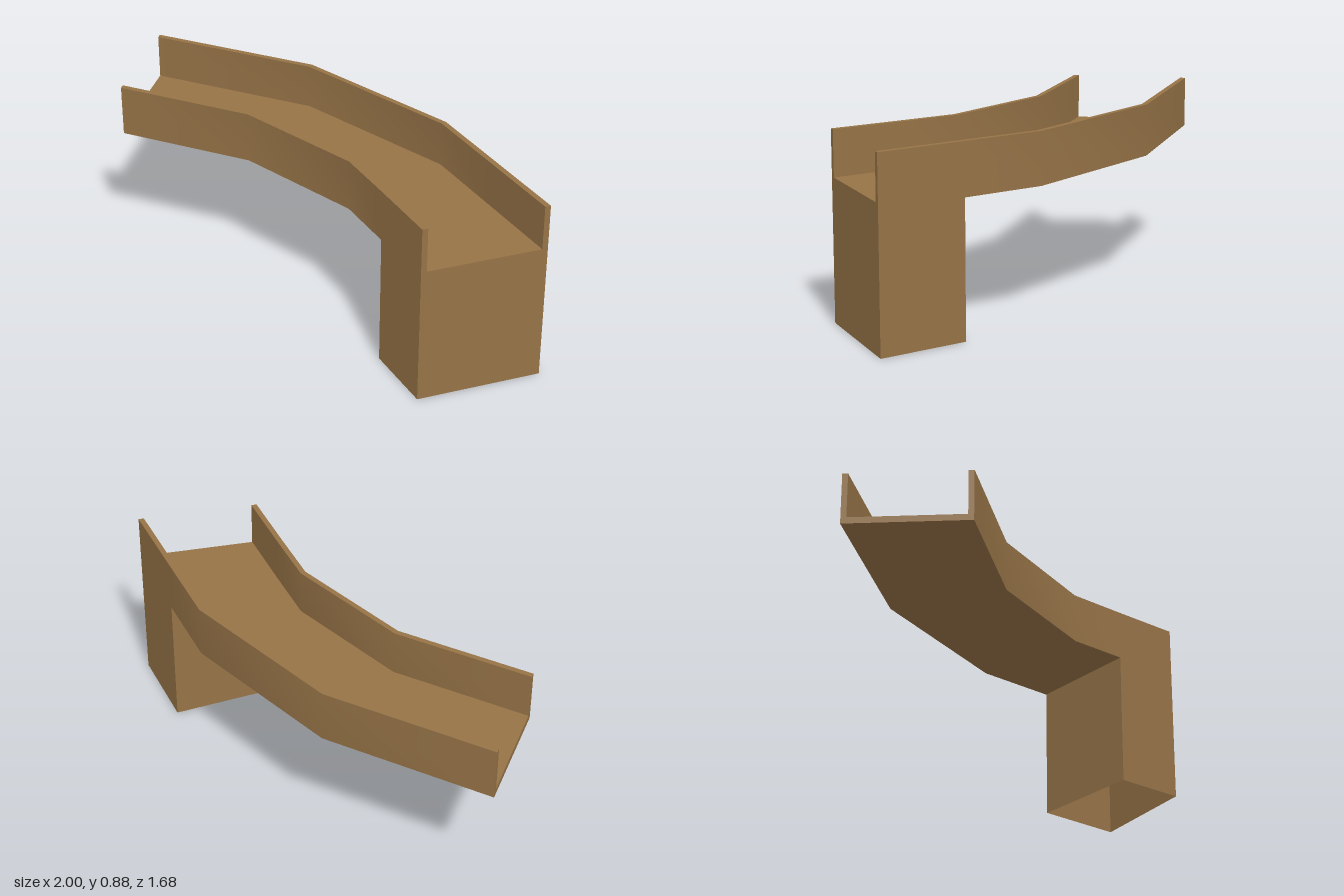
import * as THREE from 'three';
import { toCreasedNormals } from 'three/addons/utils/BufferGeometryUtils.js';

// Plan stations from the back end to the front end: [inner x, inner z, outer x, outer z]
const STATIONS = [
  [-1, -0.28, -0.905, -0.842],
  [-0.375, -0.075, -0.125, -0.588],
  [0.12, 0.31, 0.535, -0.08],
  [0.28, 0.553, 0.759, 0.25], // back of the leg
  [0.465, 0.84, 1, 0.605],
];
const UNDERSIDE = 0.64, FLOOR = 0.67, RIM = 0.885;
const WALL = 0.045; // wall thickness as a share of the width

// Point across a station: s = 0 at the inner side, 1 at the outer side
const pointAt = ([ix, iz, ox, oz], s, y) => [ix + (ox - ix) * s, y, iz + (oz - iz) * s];

// Creased geometry from quads with counter-clockwise corners
function quadGeometry(quads) {
  const positions = [];
  for (const [a, b, c, d] of quads) positions.push(...a, ...b, ...c, ...a, ...c, ...d);
  const geometry = new THREE.BufferGeometry();
  geometry.setAttribute('position', new THREE.Float32BufferAttribute(positions, 3));
  return toCreasedNormals(geometry, 0.6);
}

// U-shaped channel swept through the stations
function channelGeometry() {
  const profile = [
    [0, UNDERSIDE], [1, UNDERSIDE], [1, RIM], [1 - WALL, RIM],
    [1 - WALL, FLOOR], [WALL, FLOOR], [WALL, RIM], [0, RIM],
  ];
  const rings = STATIONS.map((st) => profile.map(([s, y]) => pointAt(st, s, y)));
  const quads = [];
  for (let k = 0; k < rings.length - 1; k++) {
    const a = rings[k], b = rings[k + 1];
    for (let i = 0; i < a.length; i++) {
      const j = (i + 1) % a.length;
      quads.push([a[i], a[j], b[j], b[i]]);
    }
  }
  // End caps: floor and the two walls
  const first = rings[0], last = rings[rings.length - 1];
  for (const cap of [[0, 1, 4, 5], [1, 2, 3, 4], [0, 5, 6, 7]]) {
    quads.push(cap.map((i) => last[i]));
    quads.push([...cap].reverse().map((i) => first[i]));
  }
  return quadGeometry(quads);
}

// Hollow leg, open at the bottom
function legGeometry() {
  const [back, front] = STATIONS.slice(-2);
  const corners = [[back, 0], [front, 0], [front, 1], [back, 1]];
  return quadGeometry(corners.map(([st, s], i) => {
    const [st2, s2] = corners[(i + 1) % 4];
    return [pointAt(st, s, 0), pointAt(st2, s2, 0), pointAt(st2, s2, UNDERSIDE), pointAt(st, s, UNDERSIDE)];
  }));
}

export function createModel() {
  const brown = new THREE.MeshStandardMaterial({ color: 0x967347, side: THREE.DoubleSide });
  brown.name = 'brown';

  const model = new THREE.Group();
  model.name = 'curvedChute';
  for (const [name, geometry] of [['channel', channelGeometry()], ['leg', legGeometry()]]) {
    const mesh = new THREE.Mesh(geometry, brown);
    mesh.name = name;
    model.add(mesh);
  }
  return model;
}
